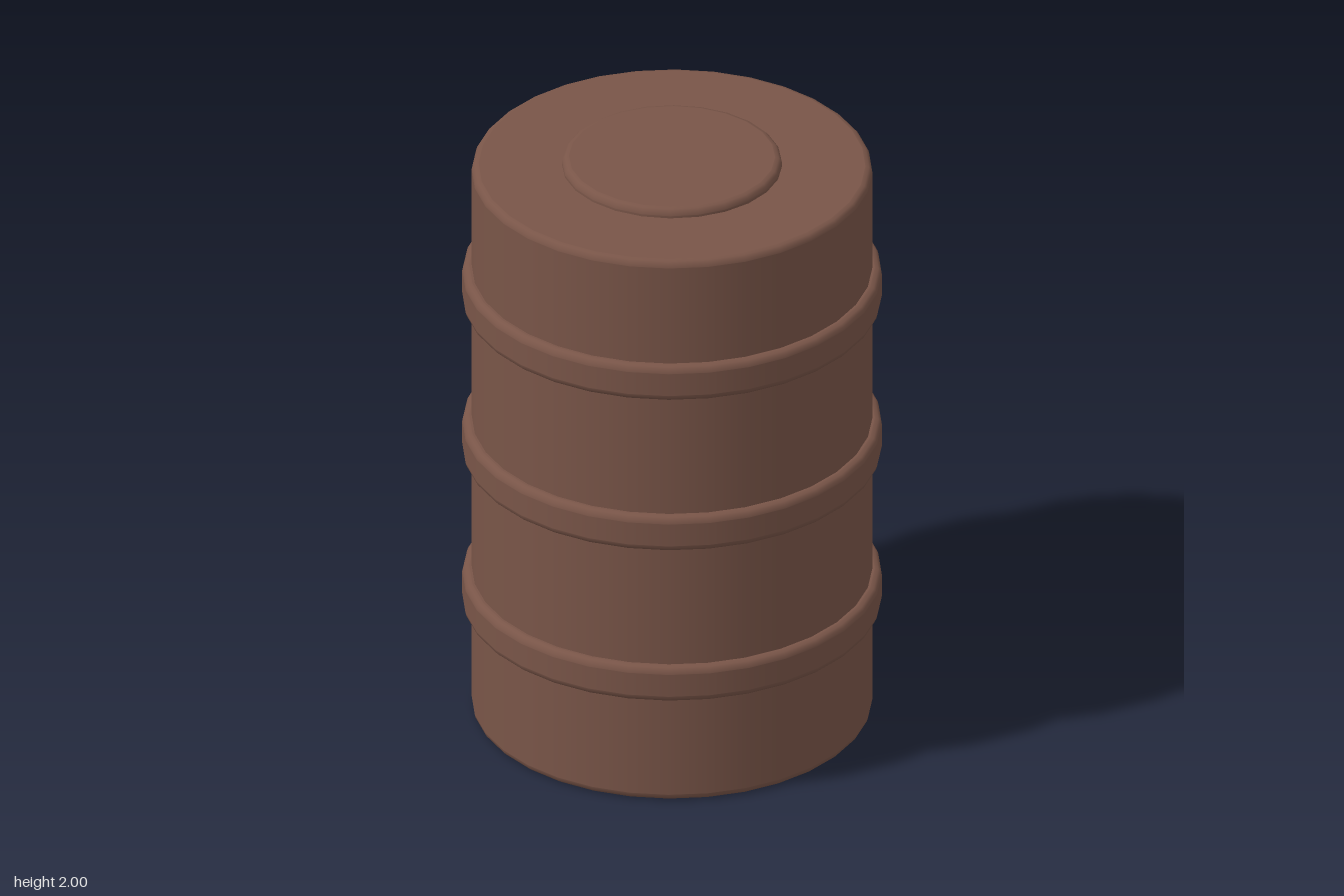
import * as THREE from 'three';

const brown = new THREE.MeshStandardMaterial({ color: 0x795548 });

// Disc or ring turned around y, with rounded outer edges and flat faces between them
function turned(name, inner, radius, bottom, top, bevel, sides, steps = 3) {
  const pts = [new THREE.Vector2(inner, bottom)];
  const guard = bevel * 0.05; // short extra edge that keeps the flats flat when shaded
  const corner = (y, from) => {
    for (let i = 0; i <= steps; i++) {
      const a = from + (i / steps) * Math.PI / 2;
      pts.push(new THREE.Vector2(radius - bevel + bevel * Math.cos(a), y + bevel * Math.sin(a)));
    }
  };
  pts.push(new THREE.Vector2(radius - bevel - guard, bottom));
  corner(bottom + bevel, -Math.PI / 2);
  pts.push(new THREE.Vector2(radius, bottom + bevel + guard));
  pts.push(new THREE.Vector2(radius, top - bevel - guard));
  corner(top - bevel, 0);
  pts.push(new THREE.Vector2(radius - bevel - guard, top));
  pts.push(new THREE.Vector2(inner, top));
  const mesh = new THREE.Mesh(new THREE.LatheGeometry(pts, sides), brown);
  mesh.name = name;
  return mesh;
}

export function createModel() {
  const group = new THREE.Group();
  group.name = 'barrel';

  // Drum
  group.add(turned('body', 0, 0.64, 0, 1.97, 0.022, 32));

  // Three raised hoops
  ['lowerHoop', 'middleHoop', 'upperHoop'].forEach((name, i) => {
    const y = 0.375 + i * 0.55;
    group.add(turned(name, 0.6, 0.67, y, y + 0.125, 0.022, 32));
  });

  // Low round lid
  group.add(turned('lid', 0, 0.352, 1.94, 2, 0.022, 24));

  return group;
}
